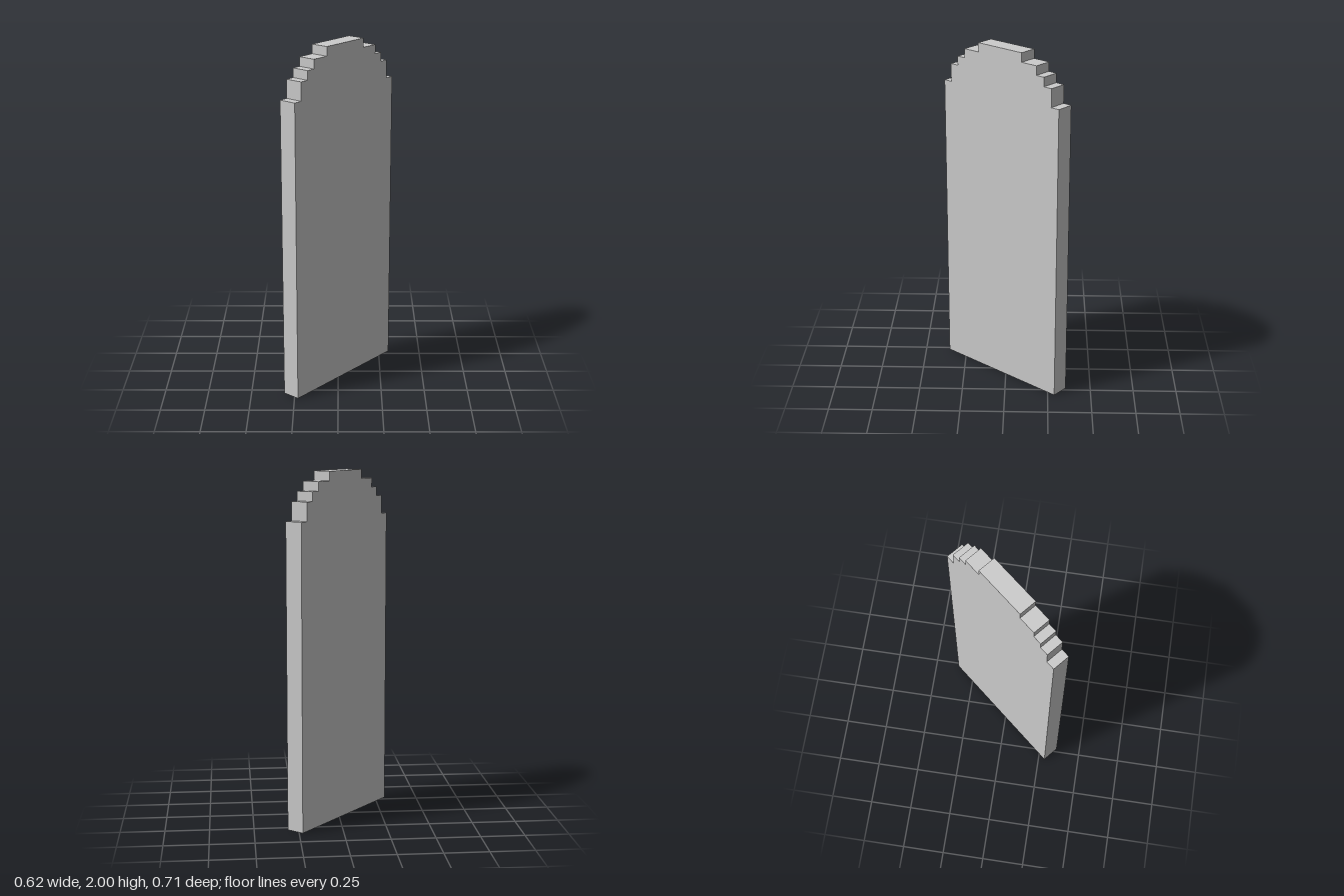
import * as THREE from 'three';

export function createModel() {
  const group = new THREE.Group();
  const unit = 0.0525; // one step of the stepped arch
  const thickness = 2 * unit;

  // Right half of the outline: [half width, drop from the top], in steps
  const steps = [[8, 5], [7, 3], [6, 2], [5, 1], [3, 0]];
  const half = [new THREE.Vector2(8 * unit, 0)];
  steps.forEach(([w, drop], i) => {
    const y = 2 - drop * unit;
    half.push(new THREE.Vector2(w * unit, y));
    if (i < steps.length - 1) half.push(new THREE.Vector2(steps[i + 1][0] * unit, y));
  });
  const mirrored = half.map((p) => new THREE.Vector2(-p.x, p.y)).reverse();

  // Upright slab with a stepped, rounded top, turned about the vertical
  const geometry = new THREE.ExtrudeGeometry(new THREE.Shape([...half, ...mirrored]), {
    depth: thickness,
    bevelEnabled: false,
  });
  geometry.translate(0, 0, -thickness / 2);
  const slab = new THREE.Mesh(
    geometry,
    new THREE.MeshStandardMaterial({ color: 0xcccccc, flatShading: true })
  );
  slab.name = 'steppedArchSlab';
  slab.rotation.y = THREE.MathUtils.degToRad(50);
  group.add(slab);
  return group;
}
